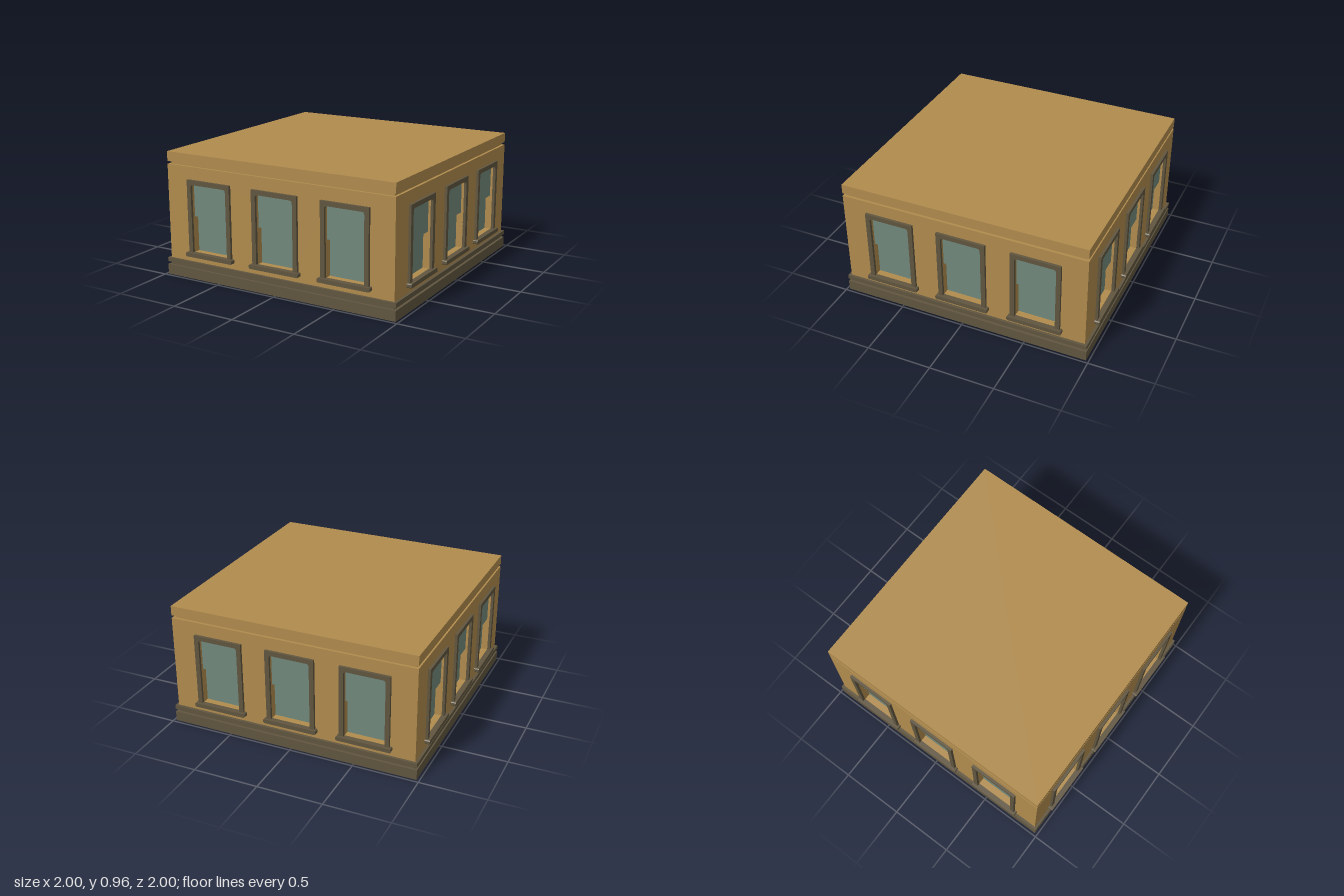
import * as THREE from 'three';

const wallMat = new THREE.MeshStandardMaterial({ name: 'ochre wall', color: 0xb08b4d });
const trimMat = new THREE.MeshStandardMaterial({ name: 'dark trim', color: 0x60553f });
const glassMat = new THREE.MeshStandardMaterial({ name: 'green glass', color: 0x70887b });

const WINDOW_X = [-0.577, 0, 0.577];
const SILL_Y = 0.21, OPEN_TOP = 0.735, OPEN_HALF = 0.157;

function add(parent, name, geometry, material, x = 0, y = 0, z = 0) {
  const mesh = new THREE.Mesh(geometry, material);
  mesh.name = name;
  mesh.position.set(x, y, z);
  parent.add(mesh);
  return mesh;
}

// Square slab centred on the vertical axis, from y0 to y1
function slab(parent, name, half, y0, y1, material) {
  add(parent, name, new THREE.BoxGeometry(half * 2, y1 - y0, half * 2), material, 0, (y0 + y1) / 2, 0);
}

function rectangle(x0, x1, y0, y1) {
  return new THREE.Shape([[x0, y0], [x1, y0], [x1, y1], [x0, y1]].map(p => new THREE.Vector2(...p)));
}

// Window opening with slightly rounded upper corners
function opening(x) {
  const r = 0.022, l = x - OPEN_HALF, e = x + OPEN_HALF;
  const path = new THREE.Path();
  path.moveTo(l, SILL_Y);
  path.lineTo(l, OPEN_TOP - r);
  path.quadraticCurveTo(l, OPEN_TOP, l + r, OPEN_TOP);
  path.lineTo(e - r, OPEN_TOP);
  path.quadraticCurveTo(e, OPEN_TOP, e, OPEN_TOP - r);
  path.lineTo(e, SILL_Y);
  path.closePath();
  return path;
}

function extrude(shape, depth) {
  return new THREE.ExtrudeGeometry(shape, { depth, bevelEnabled: false, curveSegments: 4 });
}

function makeWindow(x) {
  const group = new THREE.Group();
  group.name = 'window';
  group.position.x = x;

  // Raised surround
  const surround = rectangle(-0.192, 0.192, SILL_Y, 0.77);
  // Opening bottom meets the sill, so the outline itself is notched there
  surround.holes.push(opening(0));
  add(group, 'windowFrame', extrude(surround, 0.022), trimMat, 0, 0, 0.958);

  // Projecting sill with softened ends
  const sill = new THREE.Shape();
  const h = 0.21, c = 0.006, y0 = 0.18, y1 = 0.212;
  [[-h, y0 + c], [-h + c, y0], [h - c, y0], [h, y0 + c], [h, y1 - c], [h - c, y1], [-h + c, y1], [-h, y1 - c]]
    .forEach(([px, py], i) => (i ? sill.lineTo(px, py) : sill.moveTo(px, py)));
  add(group, 'windowSill', extrude(sill, 0.042), trimMat, 0, 0, 0.958);

  // Upper sash stands in front of the lower one
  const w = OPEN_HALF * 2;
  add(group, 'upperSash', new THREE.BoxGeometry(w, 0.25, 0.04), glassMat, 0, 0.61, 0.92);
  add(group, 'lowerSash', new THREE.BoxGeometry(w, 0.30, 0.008), glassMat, 0, 0.35, 0.901);
  return group;
}

function makeSide() {
  const side = new THREE.Group();
  // Each wall stops short at one end so the four interlock at the corners
  const wall = rectangle(-0.9, 0.96, 0.12, 0.866);
  WINDOW_X.forEach(x => wall.holes.push(opening(x)));
  add(side, 'wall', extrude(wall, 0.06), wallMat, 0, 0, 0.9);
  WINDOW_X.forEach(x => side.add(makeWindow(x)));
  return side;
}

export function createModel() {
  const model = new THREE.Group();
  model.name = 'buildingStorey';

  // Plinth with a recessed joint
  slab(model, 'underside', 0.965, 0, 0.004, wallMat);
  slab(model, 'plinth', 0.98, 0.001, 0.08, trimMat);
  slab(model, 'plinthJoint', 0.96, 0.08, 0.102, trimMat);
  slab(model, 'plinthBand', 0.98, 0.102, 0.134, trimMat);

  // Four identical sides
  ['frontSide', 'leftSide', 'backSide', 'rightSide'].forEach((name, i) => {
    const side = makeSide();
    side.name = name;
    side.rotation.y = i * Math.PI / 2;
    model.add(side);
  });

  // Roof slab above a recessed joint
  slab(model, 'roofJoint', 0.94, 0.85, 0.887, wallMat);
  slab(model, 'roofSlab', 0.96, 0.887, 0.962, wallMat);
  return model;
}
